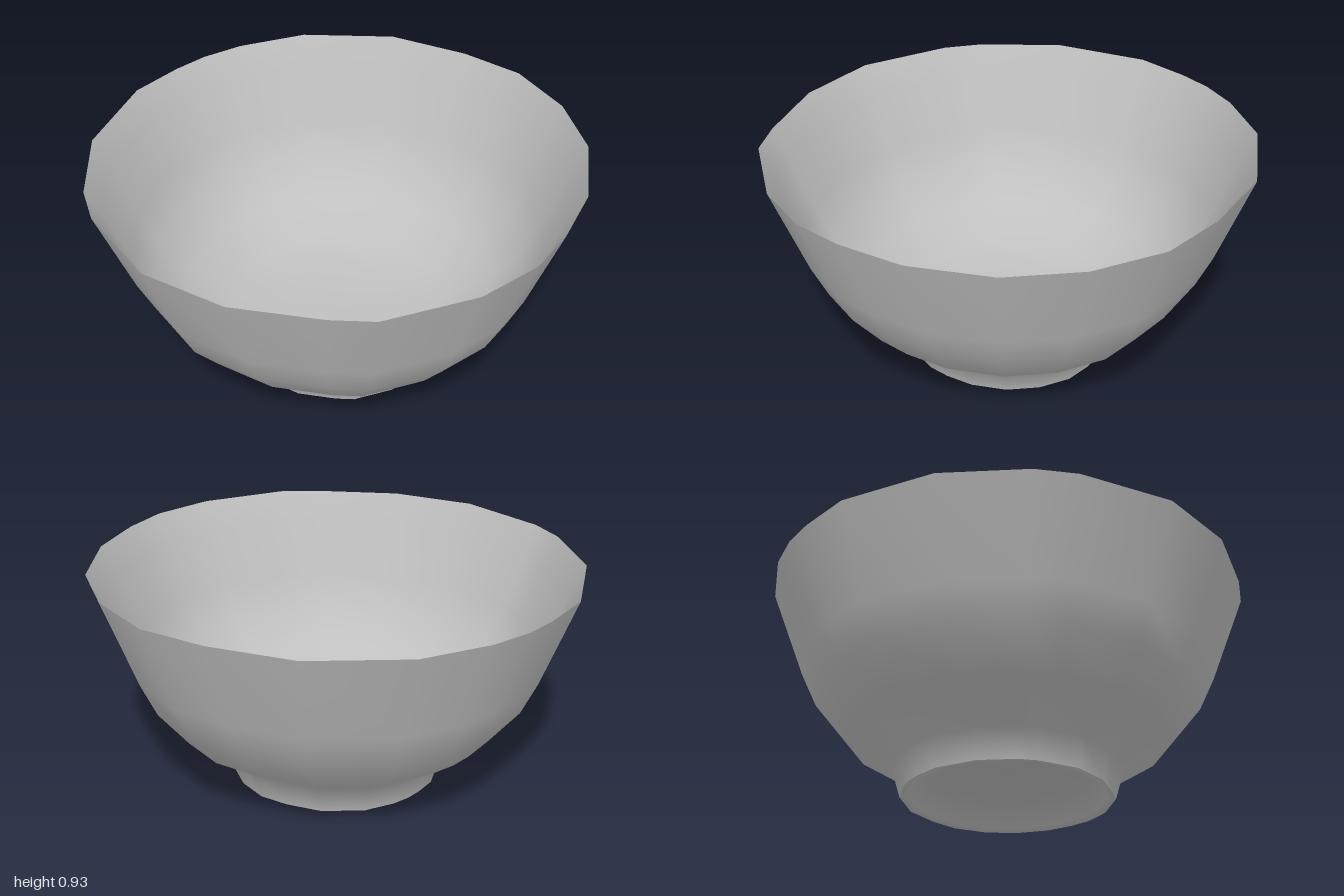
import * as THREE from 'three';
import { mergeVertices } from 'three/addons/utils/BufferGeometryUtils.js';

// Uneven rim outline as [x, z], running from the front round by the left side
const RIM = [
  [-0.09, 1], [0.18, 0.985], [0.38, 0.91], [0.62, 0.77], [0.85, 0.52], [0.97, 0.23], [0.995, -0.08],
  [0.91, -0.35], [0.74, -0.66], [0.42, -0.91], [0.13, -0.99], [-0.05, -1], [-0.2, -0.98], [-0.43, -0.92],
  [-0.76, -0.68], [-0.95, -0.37], [-1, -0.2], [-1, 0.2], [-0.85, 0.53], [-0.6, 0.79], [-0.46, 0.9],
];

// Revolves a profile of [radius, y] along the uneven outline, with a slight lean to one side
function turned(name, profile, material) {
  const points = profile.map(([r, y]) => new THREE.Vector2(r, y));
  let geo = new THREE.LatheGeometry(points, RIM.length);
  const pos = geo.attributes.position;
  for (let i = 0; i < pos.count; i++) {
    const [r, y] = profile[i % profile.length];
    const [x, z] = RIM[Math.floor(i / profile.length) % RIM.length];
    pos.setXYZ(i, x * r, y + 0.013 * x * r, z * r);
  }
  geo.deleteAttribute('uv');
  geo.deleteAttribute('normal');
  geo = mergeVertices(geo);
  geo.computeVertexNormals();
  const mesh = new THREE.Mesh(geo, material);
  mesh.name = name;
  return mesh;
}

export function createModel() {
  const bowl = new THREE.Group();
  bowl.name = 'bowl';
  const clay = new THREE.MeshStandardMaterial({ color: 0xc0c0c0, side: THREE.DoubleSide });
  clay.name = 'greyClay';

  // Outer wall with its foot ring
  bowl.add(turned('outerWall', [
    [0.435, 0.01], [0.47, 0.13], [0.67, 0.255], [0.795, 0.41], [0.86, 0.55], [1, 0.925],
  ], clay));

  // Thin inner wall and floor, following the outer wall closely
  bowl.add(turned('innerWall', [
    [1, 0.925], [0.94, 0.8], [0.845, 0.56], [0.775, 0.42], [0.645, 0.275], [0.45, 0.18], [0.25, 0.155], [0, 0.15],
  ], clay));

  // Hollow underside of the foot
  bowl.add(turned('footHollow', [
    [0, 0.12], [0.34, 0.115], [0.4, 0.02], [0.435, 0.01],
  ], clay));

  return bowl;
}
